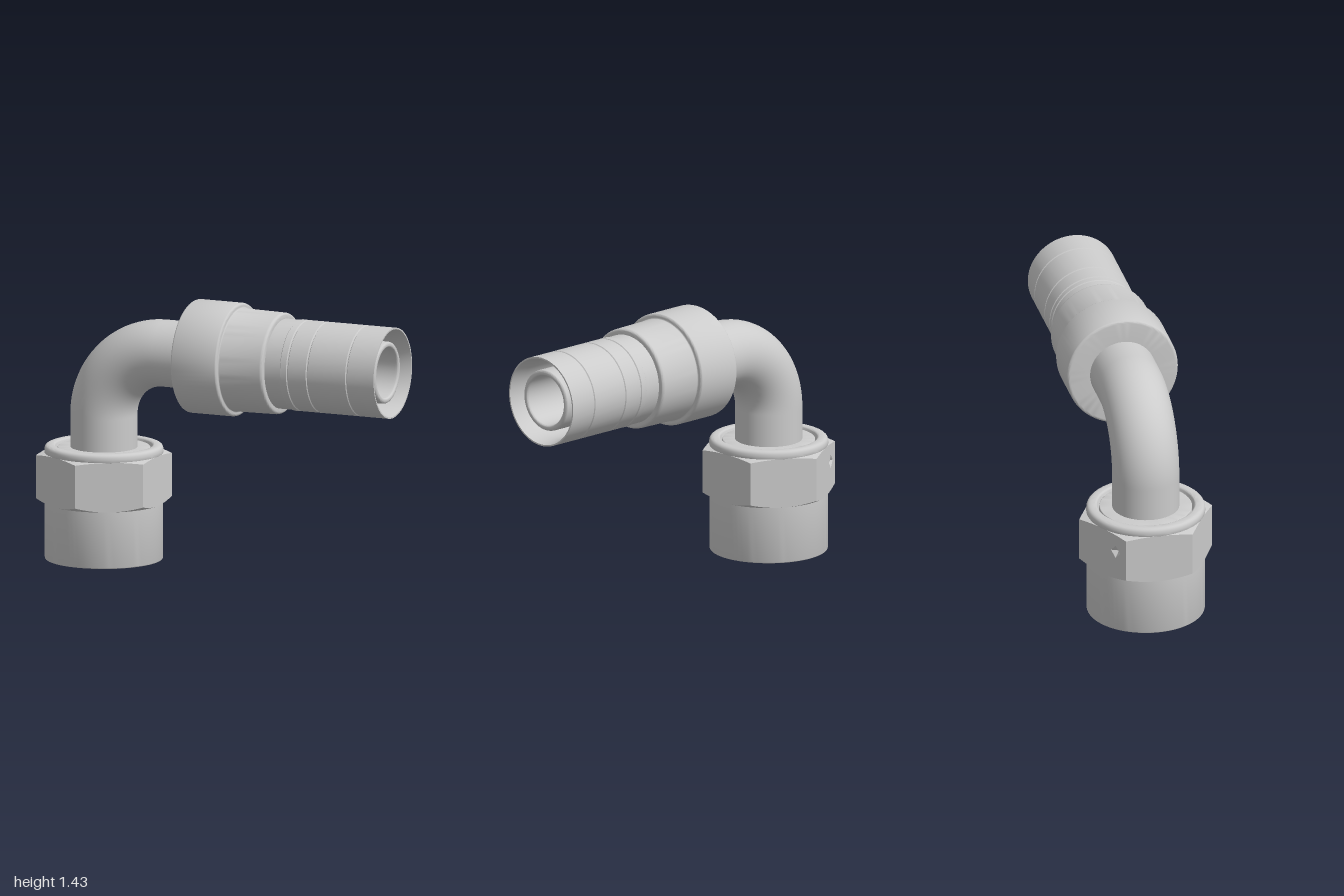
import * as THREE from 'three';
import { toCreasedNormals } from 'three/addons/utils/BufferGeometryUtils.js';

const NUT_X = -0.685, AXIS_Y = 1.133, BEND = 0.355, BEND_X = NUT_X + BEND;
const APOTHEM = 0.313, HALF_FLAT = APOTHEM * Math.tan(Math.PI / 6);
const grey = new THREE.MeshStandardMaterial({ color: 0xcccccc });
const greyDouble = new THREE.MeshStandardMaterial({ color: 0xcccccc, side: THREE.DoubleSide });

// Turned part from [radius, height, fillet] points; filleted corners become short curves
function turned(points, segments = 72) {
  const out = [];
  points.forEach(([r, y, f], i) => {
    const p = new THREE.Vector2(r, y);
    if (!f) { out.push(p); return; }
    const toward = ([a, b]) => p.clone().add(new THREE.Vector2(a, b).sub(p).setLength(f));
    const curve = new THREE.QuadraticBezierCurve(toward(points[i - 1]), p, toward(points[i + 1]));
    out.push(...curve.getPoints(5));
  });
  return toCreasedNormals(new THREE.LatheGeometry(out, segments), 0.6);
}

function add(parent, name, geometry, material = grey) {
  const mesh = new THREE.Mesh(geometry, material);
  mesh.name = name;
  parent.add(mesh);
  return mesh;
}

// Elbow centre line: up from the nut, a quarter bend, then out along +x
function elbowPath(startY, endX) {
  const v = (x, y) => new THREE.Vector3(x, y, 0);
  const k = BEND * 0.5523, y0 = AXIS_Y - BEND;
  const path = new THREE.CurvePath();
  path.add(new THREE.LineCurve3(v(NUT_X, startY), v(NUT_X, y0)));
  path.add(new THREE.CubicBezierCurve3(
    v(NUT_X, y0), v(NUT_X, y0 + k), v(BEND_X - k, AXIS_Y), v(BEND_X, AXIS_Y)));
  path.add(new THREE.LineCurve3(v(BEND_X, AXIS_Y), v(endX, AXIS_Y)));
  return path;
}

// Heights of the chamfered hexagon edges at a given radius
const hexBottom = r => 0.305 + (r - APOTHEM) * 0.5;
const hexTop = r => 0.572 - (r - APOTHEM) * 0.25;

// One flat of the hexagon, with arched edges and an optional diamond opening
function hexFlat(mark) {
  const steps = 16, low = [], high = [];
  for (let i = 0; i <= steps; i++) {
    const s = (i / steps * 2 - 1) * HALF_FLAT, r = Math.hypot(s, APOTHEM);
    low.push(new THREE.Vector2(s, hexBottom(r)));
    high.unshift(new THREE.Vector2(s, hexTop(r)));
  }
  const shape = new THREE.Shape([...low, ...high]);
  if (mark) {
    const { x, y, size } = mark;
    shape.holes.push(new THREE.Path([
      new THREE.Vector2(x - size, y), new THREE.Vector2(x, y + size),
      new THREE.Vector2(x + size, y), new THREE.Vector2(x, y - size)]));
  }
  return new THREE.ShapeGeometry(shape);
}

// Conical chamfer whose outer edge follows the hexagon
function hexChamfer(heightAt) {
  const geometry = new THREE.LatheGeometry(
    [new THREE.Vector2(0.28, 0), new THREE.Vector2(1, 0)], 72);
  const pos = geometry.attributes.position, sector = Math.PI / 3;
  for (let i = 0; i < pos.count; i++) {
    const x = pos.getX(i), z = pos.getZ(i);
    const angle = Math.atan2(x, z) + Math.PI * 2;
    let r = Math.hypot(x, z);
    if (r > 0.5) r = APOTHEM / Math.cos(angle % sector - sector / 2);
    pos.setXYZ(i, r * Math.sin(angle), heightAt(r), r * Math.cos(angle));
  }
  geometry.computeVertexNormals();
  return geometry;
}

function makeNut() {
  const nut = new THREE.Group();
  nut.name = 'swivelNut';
  nut.position.x = NUT_X;
  add(nut, 'nutBody', turned([
    [0.256, 0.605], [0.256, 0.03], [0.28, 0], [0.313, 0, 0.008], [0.313, 0.306],
    [0.28, 0.306], [0.28, 0.568], [0.315, 0.568, 0.008], [0.315, 0.615, 0.028],
    [0.262, 0.615, 0.008], [0.256, 0.605]]));

  // Six flats, one carrying a diamond dimple
  const mark = { x: 0.1, y: 0.47, size: 0.036 };
  for (let k = 0; k < 6; k++) {
    const side = new THREE.Group();
    side.name = 'hexSide';
    side.rotation.y = Math.PI / 6 + k * Math.PI / 3;
    nut.add(side);
    const marked = k === 3;
    add(side, 'hexFlat', hexFlat(marked ? mark : null)).position.z = APOTHEM;
    if (marked) {
      const depth = 0.025;
      const pit = new THREE.ConeGeometry(mark.size, depth, 4, 1, true).rotateX(-Math.PI / 2);
      add(side, 'dimple', toCreasedNormals(pit, 0.3), greyDouble)
        .position.set(mark.x, mark.y, APOTHEM - depth / 2);
    }
  }
  add(nut, 'lowerChamfer', hexChamfer(hexBottom), greyDouble);
  add(nut, 'upperChamfer', hexChamfer(hexTop), greyDouble);

  // Sealing cone held inside the nut, with a thin gap around it
  add(nut, 'sealingCone', turned([
    [0.135, 0.43], [0.21, 0.33], [0.246, 0.33], [0.246, 0.602, 0.006], [0.17, 0.602]]));
  return nut;
}

function makeHoseEnd() {
  const end = new THREE.Group();
  end.name = 'hoseEnd';
  end.position.y = AXIS_Y;
  end.rotation.z = -Math.PI / 2;

  // Stepped ferrule with shallow crimp lines and an open hose socket
  const groove = x => [[0.242, x - 0.006], [0.237, x - 0.002], [0.237, x + 0.002], [0.242, x + 0.006]];
  add(end, 'ferrule', turned([
    [0.17, -0.16], [0.302, -0.16, 0.018], [0.302, 0.108, 0.016], [0.274, 0.108, 0.008],
    [0.27, 0.362, 0.018], [0.239, 0.362], [0.239, 0.452], [0.243, 0.456],
    ...groove(0.495), ...groove(0.61), ...groove(0.84),
    [0.242, 1], [0.234, 1], [0.216, 0.92], [0.216, 0.5], [0.16, 0.5]]));

  // Inner nipple with a rounded lip
  add(end, 'nipple', turned([
    [0.165, 0.45], [0.165, 0.97, 0.016], [0.135, 0.97, 0.012], [0.135, 0.9]]));
  return end;
}

export function createModel() {
  const model = new THREE.Group();
  model.name = 'elbowHoseFitting';
  model.add(makeNut(), makeHoseEnd());
  add(model, 'elbowPipe', new THREE.TubeGeometry(elbowPath(0.59, -0.1), 64, 0.178, 48));
  add(model, 'elbowBore', new THREE.TubeGeometry(elbowPath(0.43, 0.95), 80, 0.135, 48), greyDouble);
  return model;
}
